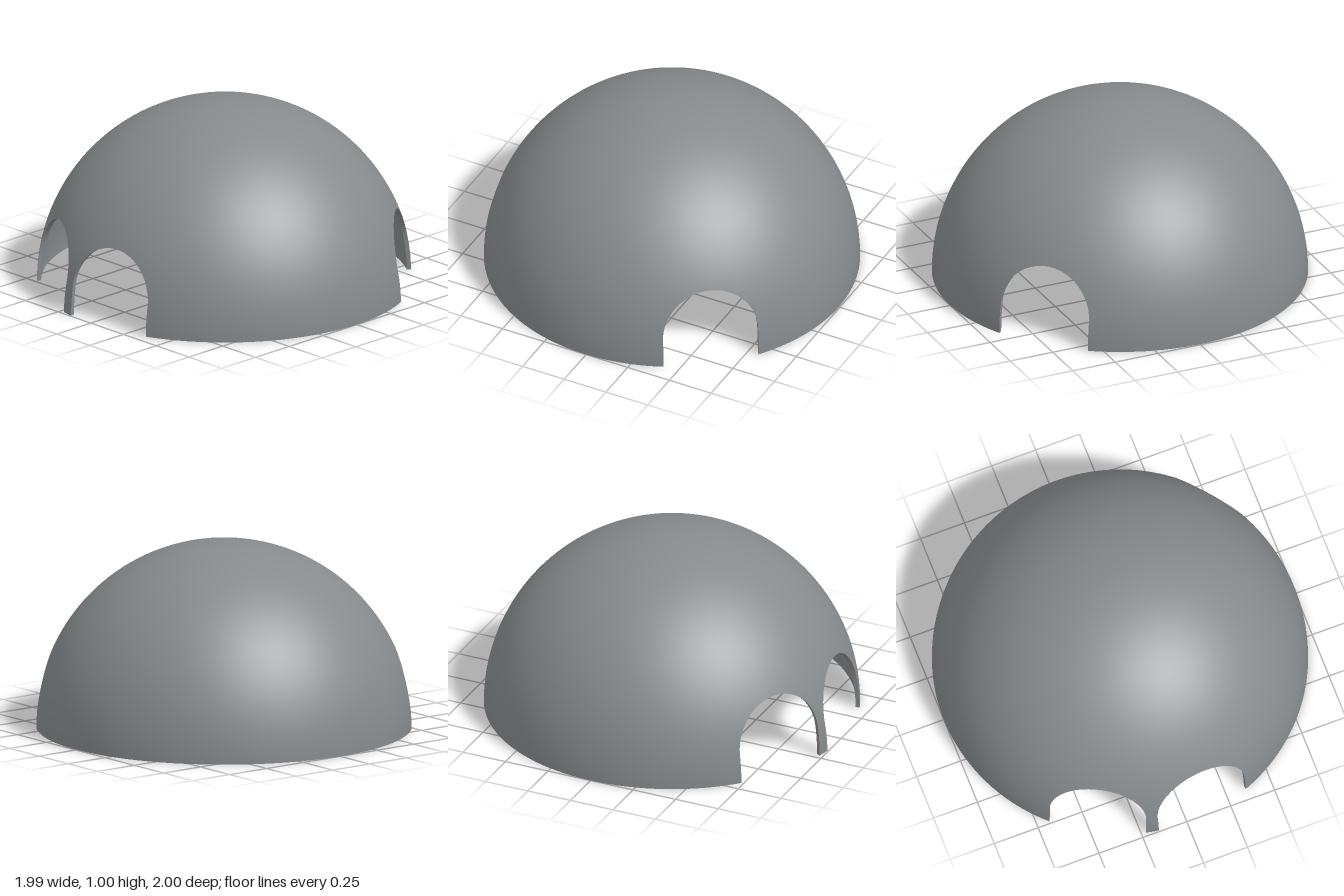
import * as THREE from 'three';
import { toCreasedNormals } from 'three/addons/utils/BufferGeometryUtils.js';

const OUTER = 1, INNER = 0.978;         // shell radii
const HALF = 0.259, SPRING = 0.16;      // archway half-width and height where the arch starts
const DOORS = [-118, -84, 40];          // archway headings, degrees from +z towards +x
const RING = Math.PI / 6;               // elevation of the ring just above the archways
const LOW_ROWS = 10, TOP_ROWS = 24;
const rad = THREE.MathUtils.degToRad;

const onSphere = (R, az, el) => new THREE.Vector3(
  R * Math.sin(az) * Math.cos(el), R * Math.sin(el), R * Math.cos(az) * Math.cos(el));

// Lower edge of the shell: archway outlines joined by stretches of ground rim.
// Each entry holds the edge point and the heading it leads to on the ring above.
function lowerEdge(R) {
  const edge = [];
  DOORS.forEach((deg, k) => {
    const heading = rad(deg);
    const add = (u, y, ringDeg) => {
      const v = Math.sqrt(R * R - u * u - y * y);
      const p = new THREE.Vector3(u, y, v).applyAxisAngle(new THREE.Vector3(0, 1, 0), heading);
      edge.push({ p, az: heading + rad(ringDeg) });
    };
    // left jamb, arch, right jamb
    for (let i = 0; i < 4; i++) add(-HALF, SPRING * i / 4, -16.8 + 1.1 * i / 4);
    for (let i = 0; i <= 28; i++) {
      const t = Math.PI * (1 - i / 28);
      add(HALF * Math.cos(t), SPRING + HALF * Math.sin(t), 15.7 * Math.cos(t));
    }
    for (let i = 3; i >= 0; i--) add(HALF, SPRING * i / 4, 16.8 - 1.1 * i / 4);

    // ground rim to the next archway, with the same number of steps for both radii
    const next = rad(k + 1 < DOORS.length ? DOORS[k + 1] : DOORS[0] + 360);
    const half = Math.asin(HALF / R), r = rad(16.8);
    const n = Math.max(2, Math.round((next - heading - 2 * r) / rad(2.5)));
    for (let i = 1; i < n; i++) {
      const t = i / n;
      edge.push({
        p: onSphere(R, THREE.MathUtils.lerp(heading + half, next - half, t), 0),
        az: THREE.MathUtils.lerp(heading + r, next - r, t),
      });
    }
  });
  edge.push(edge[0]);
  return edge;
}

// Spherical skin from the lower edge up to the crown; side is 1 outside, -1 inside
function skin(R, side) {
  const edge = lowerEdge(R), rows = LOW_ROWS + TOP_ROWS;
  const pos = [], nor = [], idx = [];
  edge.forEach(({ p, az }, i) => {
    const ring = onSphere(R, az, RING);
    for (let j = 0; j <= rows; j++) {
      const q = j <= LOW_ROWS
        ? p.clone().lerp(ring, j / LOW_ROWS).setLength(R)
        : onSphere(R, az, THREE.MathUtils.lerp(RING, Math.PI / 2, (j - LOW_ROWS) / TOP_ROWS));
      pos.push(q.x, q.y, q.z);
      nor.push(side * q.x / R, side * q.y / R, side * q.z / R);
      if (i + 1 < edge.length && j < rows) {
        const a = i * (rows + 1) + j, b = a + rows + 1;
        if (side > 0) idx.push(a, b, b + 1, a, b + 1, a + 1);
        else idx.push(a, b + 1, b, a, a + 1, b + 1);
      }
    }
  });
  const g = new THREE.BufferGeometry();
  g.setAttribute('position', new THREE.Float32BufferAttribute(pos, 3));
  g.setAttribute('normal', new THREE.Float32BufferAttribute(nor, 3));
  g.setIndex(idx);
  return g;
}

// Wall thickness along the ground rim and around the archways
function edgeStrip() {
  const out = lowerEdge(OUTER), inn = lowerEdge(INNER), pos = [], idx = [];
  out.forEach(({ p }, i) => {
    const q = inn[i].p;
    pos.push(p.x, p.y, p.z, q.x, q.y, q.z);
    if (i + 1 < out.length) {
      const a = 2 * i;
      idx.push(a, a + 1, a + 2, a + 2, a + 1, a + 3);
    }
  });
  const g = new THREE.BufferGeometry();
  g.setAttribute('position', new THREE.Float32BufferAttribute(pos, 3));
  g.setIndex(idx);
  return toCreasedNormals(g, rad(30));
}

export function createModel() {
  const grey = new THREE.MeshStandardMaterial({ color: 0x868a8c });
  grey.name = 'grey';

  const dome = new THREE.Group();
  dome.name = 'dome';
  const add = (name, geometry) => {
    const mesh = new THREE.Mesh(geometry, grey);
    mesh.name = name;
    dome.add(mesh);
  };
  add('outerShell', skin(OUTER, 1));
  add('innerShell', skin(INNER, -1));
  add('rimAndArchways', edgeStrip());
  dome.position.x = -0.006;

  const model = new THREE.Group();
  model.name = 'domeShelter';
  model.add(dome);
  return model;
}
